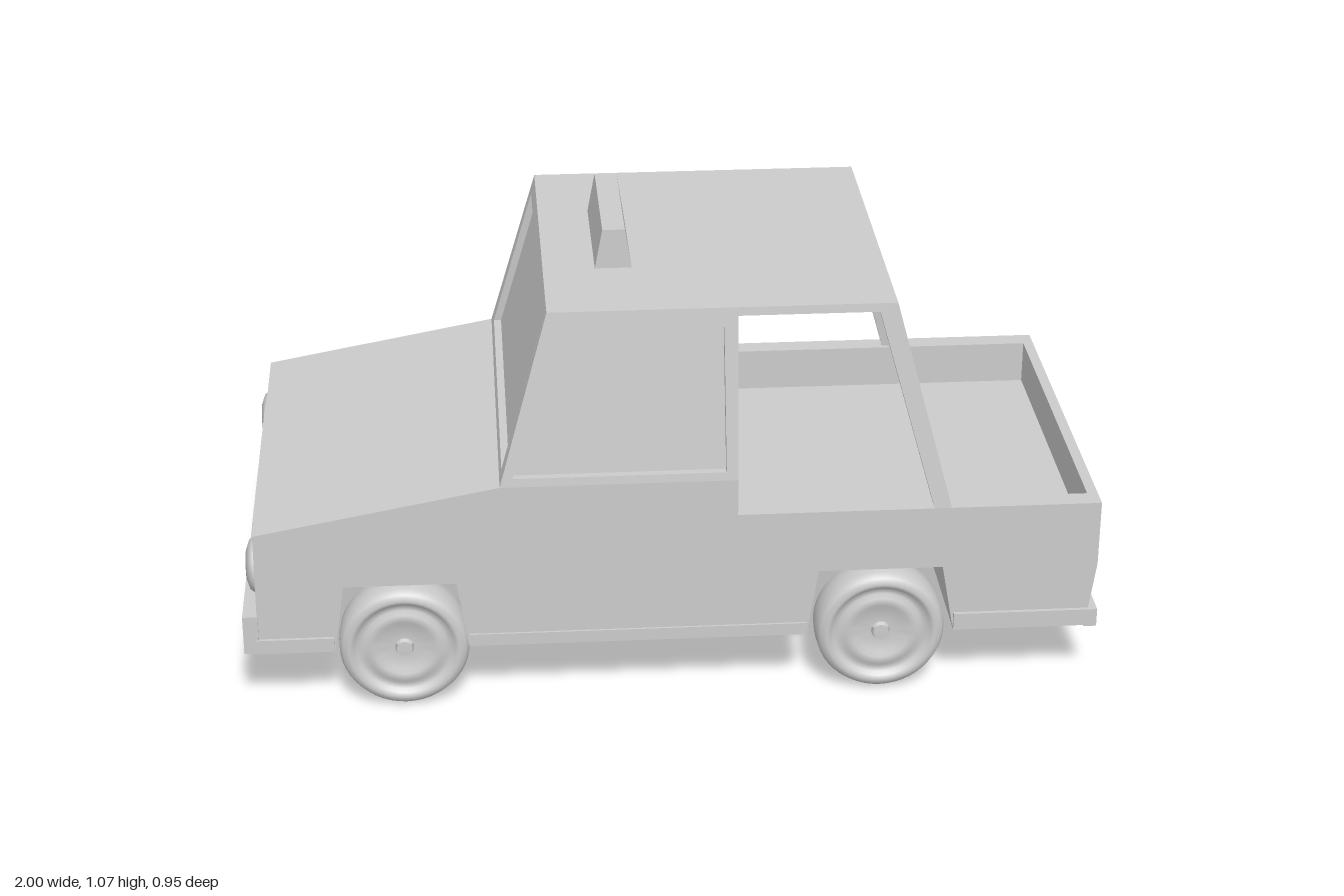
import * as THREE from 'three';
import { toCreasedNormals } from 'three/addons/utils/BufferGeometryUtils.js';

const grey = new THREE.MeshStandardMaterial({ color: 0xcccccc, side: THREE.DoubleSide });

export function createModel() {
  const car = new THREE.Group();

  const add = (name, geometry, x = 0, y = 0, z = 0) => {
    const mesh = new THREE.Mesh(geometry, grey);
    mesh.name = name;
    mesh.position.set(x, y, z);
    car.add(mesh);
    return mesh;
  };

  // box given by its limits on each axis
  const block = (name, x0, x1, y0, y1, z0, z1) =>
    add(name, new THREE.BoxGeometry(x1 - x0, y1 - y0, z1 - z0), (x0 + x1) / 2, (y0 + y1) / 2, (z0 + z1) / 2);

  const toPath = pts => pts.map(p => new THREE.Vector2(...p));
  const plate = (pts, depth, hole) => {
    const shape = new THREE.Shape(toPath(pts));
    if (hole) shape.holes.push(new THREE.Path(toPath(hole)));
    return new THREE.ExtrudeGeometry(shape, { depth, bevelEnabled: false });
  };

  // move every vertex by a rule, then refresh the flat normals
  const bend = (geometry, rule) => {
    const p = geometry.attributes.position;
    const v = new THREE.Vector3();
    for (let i = 0; i < p.count; i++) {
      rule(v.fromBufferAttribute(p, i));
      p.setXYZ(i, v.x, v.y, v.z);
    }
    geometry.computeVertexNormals();
    return geometry;
  };

  // symmetric trapezoid in (z, y)
  const trapezoid = (bottomHalf, y0, topHalf, y1) =>
    [[-bottomHalf, y0], [bottomHalf, y0], [topHalf, y1], [-topHalf, y1]];

  // plate standing across the car, its front at x and leaning back with height
  const crossPlate = (name, pts, hole, x, depth, lean) => {
    const g = plate(pts, depth, hole);
    g.rotateY(-Math.PI / 2).translate(x + depth, 0, 0);
    add(name, bend(g, v => { v.x += (v.y - 0.565) * lean; }));
  };

  // lower body with full-width wheel arches and a sunken load bed
  const body = plate([
    [-0.968, 0.155], [-0.79, 0.155], [-0.765, 0.32], [-0.505, 0.32], [-0.48, 0.155],
    [0.31, 0.155], [0.335, 0.32], [0.625, 0.32], [0.655, 0.155], [0.97, 0.155], [0.975, 0.2],
    [0.99, 0.315], [0.99, 0.475], [0.965, 0.475], [0.965, 0.37], [0.145, 0.37],
    [0.145, 0.565], [-0.4, 0.565], [-0.965, 0.46],
  ], 0.93);
  add('body', body.translate(0, 0, -0.465));

  // cabin sides and side windows, leaning inward towards the roof
  const leanIn = v => { v.z -= 0.05 * Math.max(0, (v.y - 0.565) / 0.41); };
  const windowOutline = [[-0.37, 0.585], [0.118, 0.585], [0.113, 0.93], [-0.28, 0.93]];
  const frameOutline = [
    [-0.4, 0.565], [0.145, 0.565], [0.145, 0.955], [0.465, 0.955], [0.6, 0.475],
    [0.64, 0.475], [0.505, 0.975], [-0.285, 0.975],
  ];
  for (const s of [1, -1]) {
    const mirrored = (name, geometry, z) => {
      geometry.translate(0, 0, z);
      bend(geometry, leanIn);
      if (s < 0) {
        // swap two corners of each triangle so the mirrored faces stay outward
        geometry.scale(1, 1, -1);
        const p = geometry.attributes.position;
        const a = new THREE.Vector3(), b = new THREE.Vector3();
        for (let i = 0; i < p.count; i += 3) {
          a.fromBufferAttribute(p, i);
          b.fromBufferAttribute(p, i + 1);
          p.setXYZ(i, b.x, b.y, b.z);
          p.setXYZ(i + 1, a.x, a.y, a.z);
        }
        geometry.computeVertexNormals();
      }
      add(name, geometry);
    };
    mirrored('cabinSide', plate(frameOutline, 0.04, windowOutline), 0.425);
    mirrored('sideWindow', plate(windowOutline, 0.01), 0.437);

    // bed walls, sills and wrap-around bumper ends
    const side = (name, x0, x1, y0, y1, inner, outer) =>
      block(name, x0, x1, y0, y1, Math.min(s * inner, s * outer), Math.max(s * inner, s * outer));
    side('bedWall', 0.145, 0.99, 0.37, 0.475, 0.415, 0.465);
    side('sillTrim', -0.478, 0.308, 0.155, 0.185, 0.46, 0.47);
    side('frontBumperEnd', -0.97, -0.792, 0.155, 0.19, 0.46, 0.473);
    side('rearBumperEnd', 0.655, 0.99, 0.155, 0.197, 0.46, 0.474);
    side('rearMarker', 0.97, 0.984, 0.241, 0.246, 0.31, 0.41);

    // headlights
    const lamp = new THREE.LatheGeometry(toPath([[0, 0.02], [0.035, 0.018], [0.058, 0.01], [0.065, 0], [0.065, -0.02]].reverse()), 32);
    add('headlight', lamp.rotateZ(Math.PI / 2), -0.97, 0.345, s * 0.385);
  }

  // roof, windscreen and cab rear wall
  block('roof', -0.285, 0.505, 0.955, 0.975, -0.412, 0.412);
  const lean = 0.28;
  const screen = trapezoid(0.412, 0.585, 0.377, 0.94);
  crossPlate('windscreenFrame', trapezoid(0.44, 0.565, 0.395, 0.975), screen, -0.4, 0.03, lean);
  crossPlate('windscreen', screen, null, -0.382, 0.01, lean);
  const rearScreen = trapezoid(0.405, 0.58, 0.375, 0.93);
  crossPlate('cabRearWall', trapezoid(0.44, 0.565, 0.395, 0.96), rearScreen, 0.118, 0.026, 0);
  crossPlate('cabRearWindow', rearScreen, null, 0.122, 0.01, 0);

  // roof sign
  const sign = plate([[-0.165, 0.975], [-0.08, 0.975], [-0.095, 1.07], [-0.147, 1.07]], 0.35);
  add('roofSign', sign.translate(0, 0, -0.175));

  // bumpers, grille bars, door handle and rear plate
  block('frontBumper', -1, -0.965, 0.155, 0.252, -0.47, 0.47);
  block('rearBumper', 0.965, 0.995, 0.152, 0.197, -0.474, 0.474);
  for (let i = 0; i < 4; i++) {
    const y = 0.29 + i * 0.034;
    block('grilleBar', -0.975, -0.96, y, y + 0.022, -0.31, 0.31);
  }
  block('doorHandle', 0, 0.09, 0.515, 0.538, -0.476, -0.46);
  block('rearPlate', 0.97, 0.985, 0.21, 0.257, -0.1, 0.105);

  // slanted rear slats
  for (let i = 0; i < 6; i++) {
    const z = 0.257 - i * 0.0845;
    crossPlate('rearSlat', [[z, 0.35], [z - 0.05, 0.35], [z - 0.093, 0.443], [z - 0.043, 0.443]], null, 0.982, 0.01, 0);
  }

  // wheels and axles
  const tyre = toPath([
    [0, -0.055], [0.12, -0.055], [0.142, -0.048], [0.151, -0.03], [0.153, 0], [0.151, 0.035],
    [0.143, 0.052], [0.128, 0.058], [0.118, 0.054], [0.112, 0.044], [0.098, 0.042], [0.088, 0.05],
    [0.07, 0.05], [0.058, 0.042], [0.022, 0.042], [0.018, 0.052], [0, 0.053],
  ]);
  for (const x of [-0.63, 0.485]) {
    for (const s of [1, -1]) {
      const g = toCreasedNormals(new THREE.LatheGeometry(tyre, 48), 0.9);
      add('wheel', g.rotateX(s * Math.PI / 2), x, 0.153, s * 0.416);
    }
    add('axle', new THREE.CylinderGeometry(0.02, 0.02, 0.76, 16).rotateX(Math.PI / 2), x, 0.153, 0);
  }
  return car;
}
